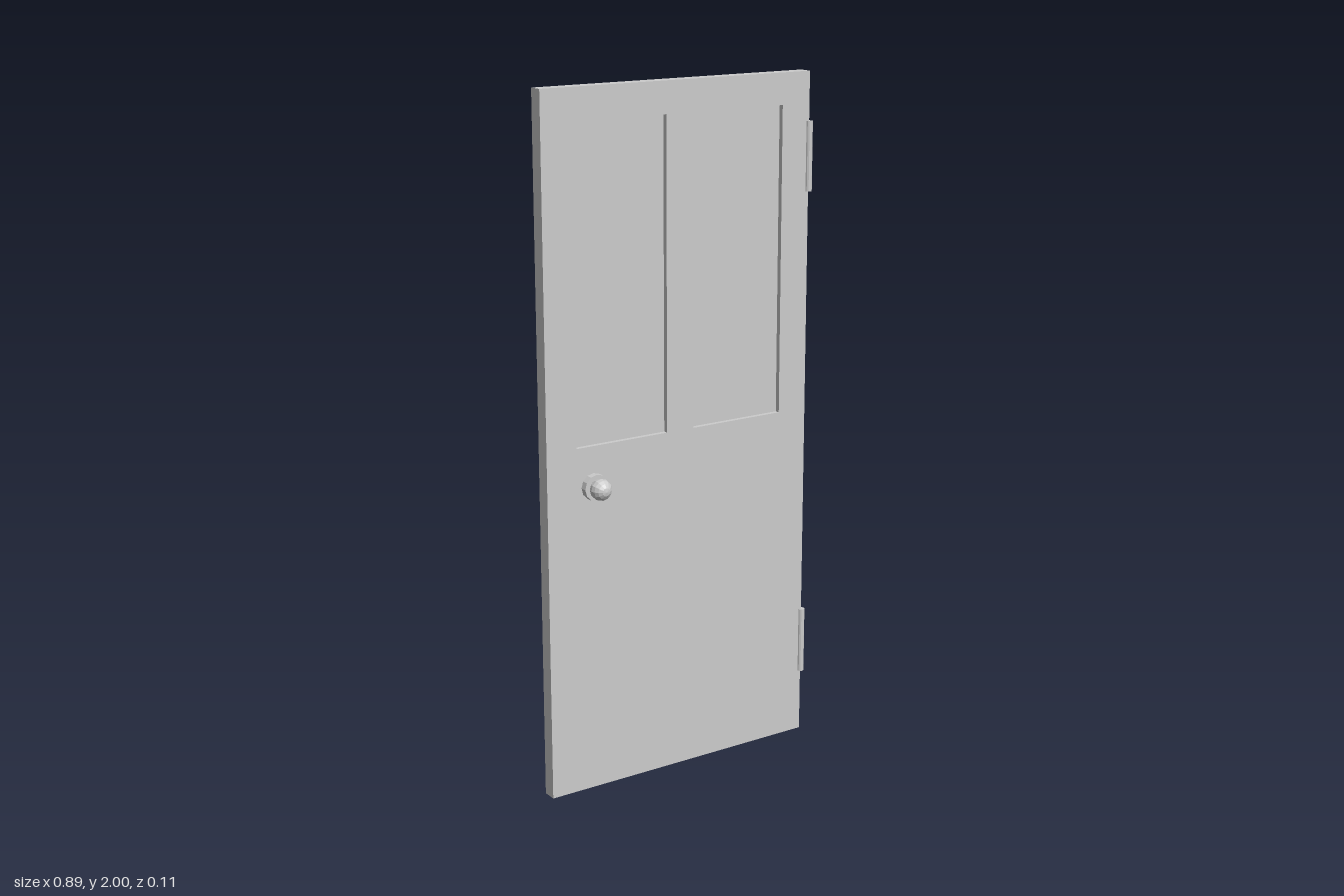
import * as THREE from 'three';

export function createModel() {
  const door = new THREE.Group();
  door.name = 'door';
  const material = new THREE.MeshStandardMaterial({ color: 0xcccccc, flatShading: true });

  const add = (name, geometry, x, y, z) => {
    const mesh = new THREE.Mesh(geometry, material);
    mesh.name = name;
    mesh.position.set(x, y, z);
    door.add(mesh);
    return mesh;
  };
  const rectangle = (path, x0, y0, x1, y1) =>
    path.moveTo(x0, y0).lineTo(x1, y0).lineTo(x1, y1).lineTo(x0, y1).closePath();

  // Door leaf with two openings, each closed by a thin recessed panel
  const back = -0.057, thickness = 0.042, panelThickness = 0.013;
  const bottom = 1.02, top = 1.91;
  const leaf = rectangle(new THREE.Shape(), -0.445, 0, 0.432, 2);
  for (const [x0, x1, name] of [[-0.35, -0.053, 'rightPanel'], [0.037, 0.338, 'leftPanel']]) {
    leaf.holes.push(rectangle(new THREE.Path(), x0, bottom, x1, top));
    add(name, new THREE.BoxGeometry(x1 - x0, top - bottom, panelThickness),
      (x0 + x1) / 2, (bottom + top) / 2, back + thickness / 2);
  }
  add('doorLeaf', new THREE.ExtrudeGeometry(leaf, { depth: thickness, bevelEnabled: false }), 0, 0, back);

  // Hinge barrels on the front left edge
  for (const [y, name] of [[0.29, 'lowerHinge'], [1.76, 'upperHinge']]) {
    add(name, new THREE.CylinderGeometry(0.0105, 0.0105, 0.2, 12), 0.433, y, -0.016);
  }

  // Knob with its round backplate, front side only
  const knobX = -0.298, knobY = 0.905;
  add('knobPlate', new THREE.CylinderGeometry(0.038, 0.038, 0.02, 12).rotateX(Math.PI / 2), knobX, knobY, -0.005);
  add('knob', new THREE.SphereGeometry(0.031, 12, 8).rotateX(Math.PI / 2), knobX, knobY, 0.025);

  return door;
}
